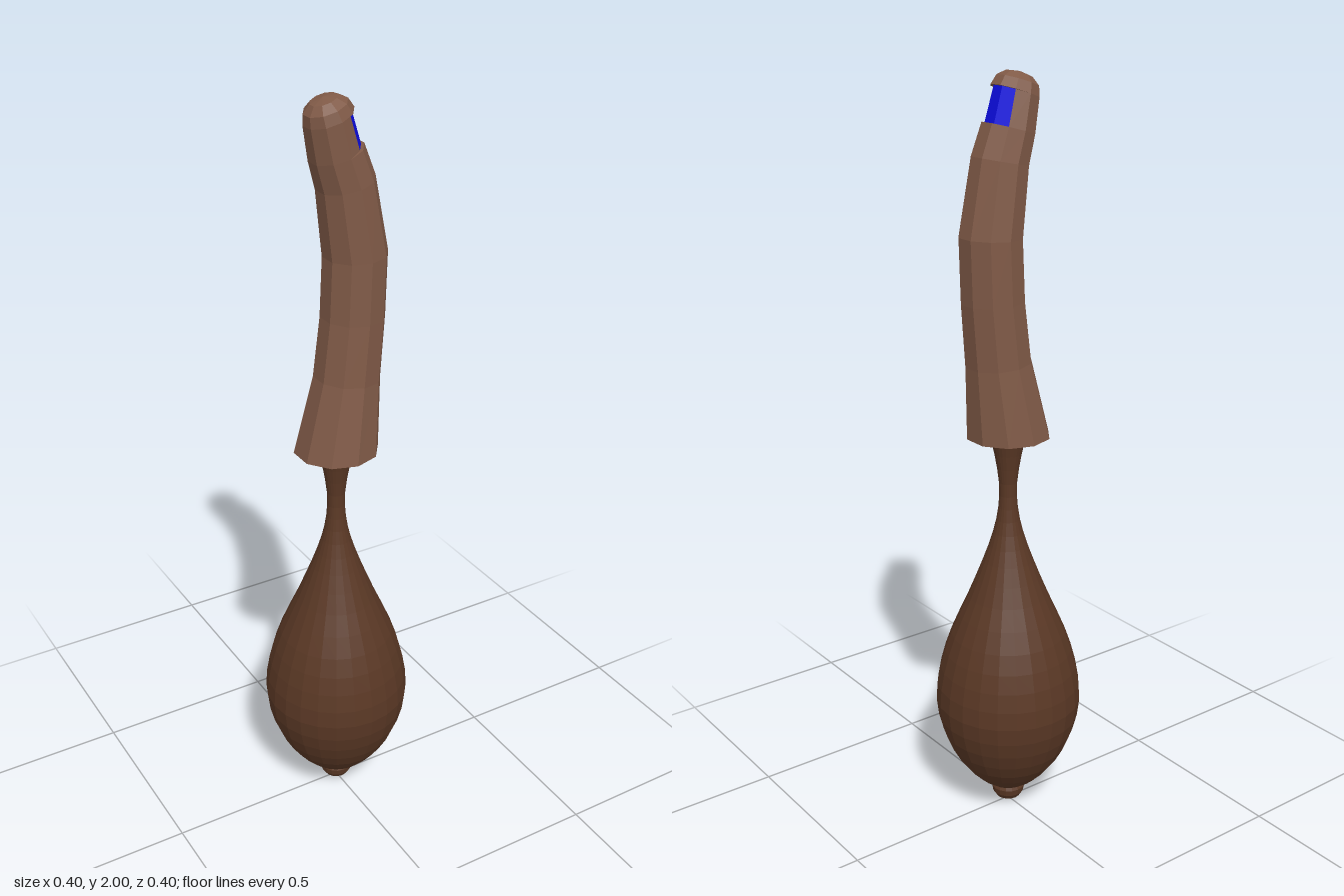
import * as THREE from 'three';

const SIDES = 10;

// Corner i of a tilted ten-sided ring; inset rings pull the nail corners inwards.
function corner([x, y, r, tilt, inset = 0], i) {
  const k = i % SIDES;
  const a = THREE.MathUtils.degToRad(18 + 36 * k);
  const rr = r - ([8, 9, 0, 1].includes(k) ? inset : 0);
  const c = Math.cos(a) * rr;
  return [x + c * Math.cos(tilt), y + c * Math.sin(tilt), Math.sin(a) * rr];
}

// Flat-shaded skin joining successive rings; keep(segment, side) selects faces.
function skin(rings, keep) {
  const pos = [];
  for (let s = 0; s < rings.length - 1; s++) {
    for (let i = 0; i < SIDES; i++) {
      if (!keep(s, i)) continue;
      const a = corner(rings[s], i), b = corner(rings[s], i + 1);
      const c = corner(rings[s + 1], i + 1), d = corner(rings[s + 1], i);
      pos.push(...a, ...d, ...b, ...d, ...c, ...b);
    }
  }
  const g = new THREE.BufferGeometry();
  g.setAttribute('position', new THREE.Float32BufferAttribute(pos, 3));
  g.computeVertexNormals();
  return g;
}

// Faceted turned shape from a bottom-to-top profile.
function turned(points, sides) {
  const g = new THREE.LatheGeometry(points, sides).toNonIndexed();
  g.computeVertexNormals();
  return g;
}

const vec = ([x, y]) => new THREE.Vector2(x, y);

export function createModel() {
  const group = new THREE.Group();
  const material = (name, color) => {
    const m = new THREE.MeshStandardMaterial({ color });
    m.name = name;
    return m;
  };
  const wood = material('dark brown', 0x5a3825);
  const skinTone = material('light brown', 0x805a47);
  const blue = material('nail blue', 0x0c0ce0);
  const add = (name, geometry, mat) => {
    const mesh = new THREE.Mesh(geometry, mat);
    mesh.name = name;
    group.add(mesh);
  };

  // Pear-shaped handle with a slender neck
  const profile = new THREE.SplineCurve([
    [0.035, 0.05], [0.085, 0.085], [0.14, 0.15], [0.18, 0.235], [0.198, 0.33],
    [0.186, 0.43], [0.155, 0.53], [0.107, 0.64], [0.067, 0.74], [0.04, 0.82],
    [0.026, 0.89], [0.024, 0.96], [0.036, 1.04], [0.05, 1.1],
  ].map(vec));
  add('handle', turned(profile.getPoints(26), 24), wood);

  // Small knob at the foot
  add('knob', turned([
    [0, 0], [0.018, 0.004], [0.034, 0.014], [0.043, 0.028], [0.046, 0.045], [0.04, 0.058], [0, 0.062],
  ].map(vec), 16), wood);

  // Bent finger: [x, y, radius, tilt, nail inset] from base to tip
  const rings = [
    [0, 1.09, 0, 0],
    [0, 1.09, 0.111, 0],
    [0.031, 1.29, 0.087, -0.08],
    [0.047, 1.45, 0.083, -0.04],
    [0.053, 1.61, 0.082, 0.03],
    [0.025, 1.79, 0.074, 0.2],
    [0.0, 1.865, 0.069, 0.28],
    [0.0, 1.865, 0.069, 0.28, 0.008],
    [-0.02, 1.95, 0.063, 0.32, 0.008],
    [-0.02, 1.95, 0.063, 0.32],
    [-0.028, 1.974, 0.055, 0.32],
    [-0.033, 1.99, 0.034, 0.32],
    [-0.035, 1.996, 0, 0.32],
  ];
  const isNail = (s, i) => s === 7 && [8, 9, 0].includes(i);
  add('finger', skin(rings, (s, i) => !isNail(s, i)), skinTone);
  add('fingernail', skin(rings, isNail), blue);

  return group;
}
